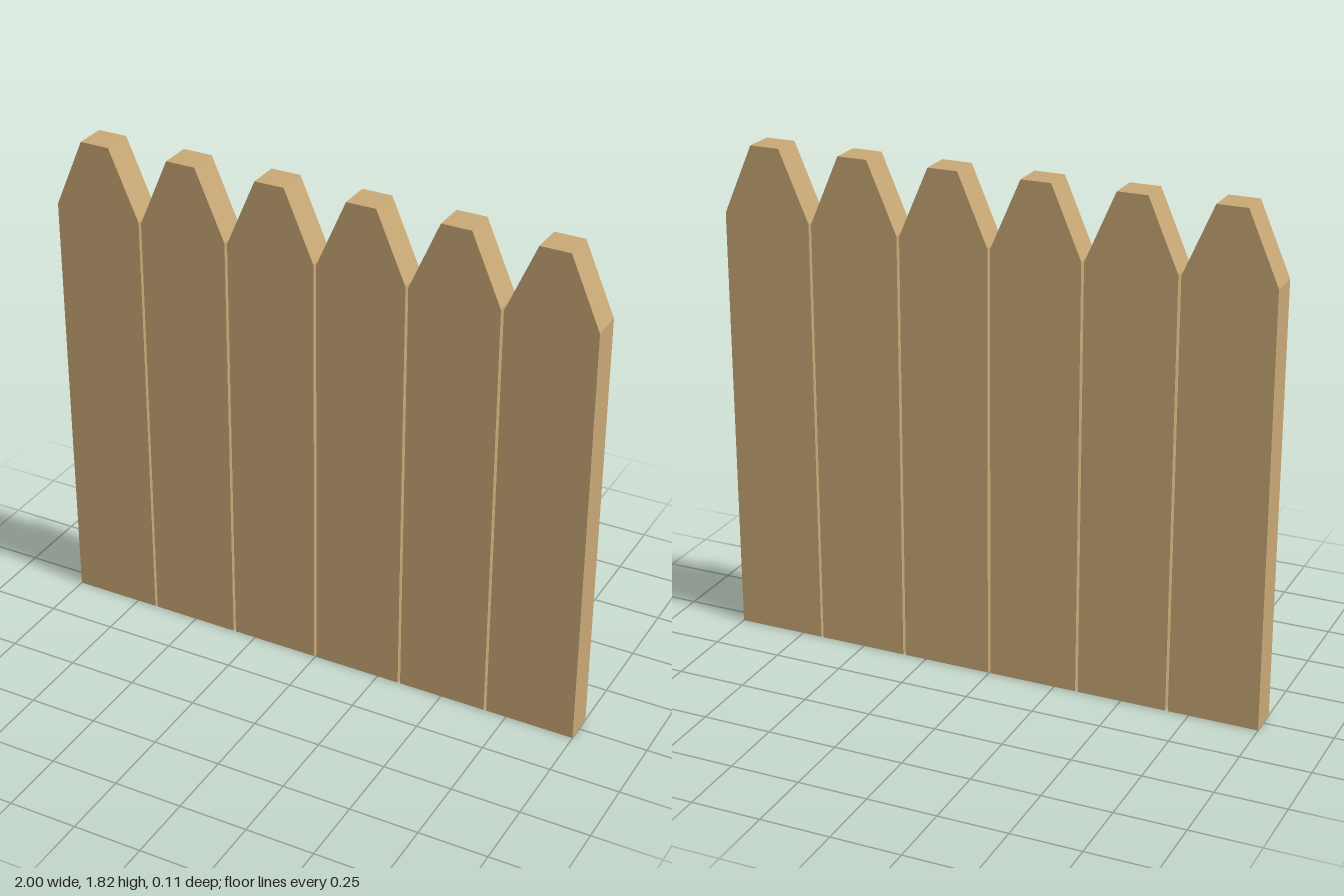
import * as THREE from 'three';

export function createModel() {
  const count = 6, width = 0.325, pitch = 0.335, depth = 0.114;
  const height = 1.823, shoulder = 1.572, tipHalf = 0.054, half = width / 2;

  const wood = new THREE.MeshStandardMaterial({ color: 0xc8a876, flatShading: true });

  // Board outline with a tapered, flat-topped tip
  const outline = new THREE.Shape([
    [-half, 0], [half, 0], [half, shoulder],
    [tipHalf, height], [-tipHalf, height], [-half, shoulder],
  ].map(([x, y]) => new THREE.Vector2(x, y)));
  const board = new THREE.ExtrudeGeometry(outline, { depth, bevelEnabled: false });
  board.translate(0, 0, -depth / 2);

  // Row of evenly spaced pickets
  const fence = new THREE.Group();
  fence.name = 'picketFence';
  for (let i = 0; i < count; i++) {
    const picket = new THREE.Mesh(board, wood);
    picket.name = `picket${i + 1}`;
    picket.position.x = (i - (count - 1) / 2) * pitch;
    fence.add(picket);
  }
  return fence;
}
